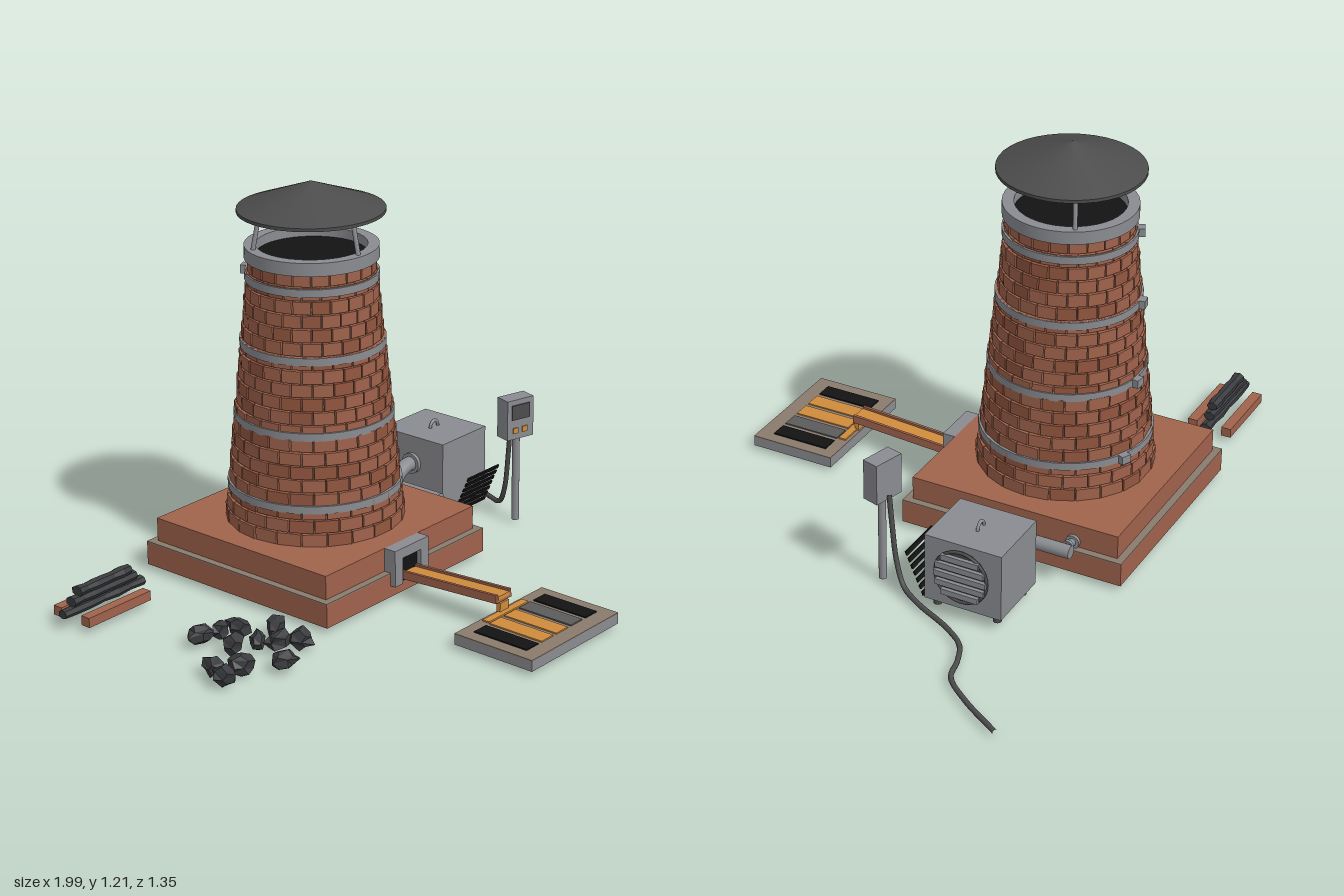
import * as THREE from 'three';
import { mergeGeometries } from 'three/addons/utils/BufferGeometryUtils.js';

const mat = (name, color, extra = {}) => {
  const m = new THREE.MeshStandardMaterial({ color, ...extra });
  m.name = name;
  return m;
};

export function createModel() {
  const root = new THREE.Group();
  root.name = 'brickFurnace';
  const M = {
    brick: mat('brick', 0xa0634c),
    brickDark: mat('darkBrick', 0x935740),
    mortar: mat('mortar', 0x8a7c6e),
    steel: mat('steel', 0x8b8c91),
    roof: mat('roofMetal', 0x4c4c4d),
    coal: mat('coal', 0x3a3b3e, { flatShading: true }),
    black: mat('black', 0x131313),
    molten: mat('moltenMetal', 0xcf8b3c),
    cooled: mat('cooledMetal', 0x5c5c5c),
  };
  let seed = 7;
  const rnd = () => (seed = (seed * 16807) % 2147483647) / 2147483647;

  const add = (name, geo, m, x = 0, y = 0, z = 0, parent = root) => {
    const mesh = new THREE.Mesh(geo, m);
    mesh.name = name;
    mesh.position.set(x, y, z);
    parent.add(mesh);
    return mesh;
  };
  // box given by its limits on each axis
  const box = (name, m, x0, x1, y0, y1, z0, z1, parent = root) =>
    add(name, new THREE.BoxGeometry(x1 - x0, y1 - y0, z1 - z0), m,
      (x0 + x1) / 2, (y0 + y1) / 2, (z0 + z1) / 2, parent);
  // round rod between two points
  const rod = (name, m, a, b, r, parent = root) => {
    const p = new THREE.Vector3(...a), q = new THREE.Vector3(...b);
    const mesh = add(name, new THREE.CylinderGeometry(r, r, p.distanceTo(q), 16), m, 0, 0, 0, parent);
    mesh.position.copy(p).lerp(q, 0.5);
    mesh.quaternion.setFromUnitVectors(new THREE.Vector3(0, 1, 0), q.sub(p).normalize());
    return mesh;
  };
  const tube = (name, m, pts, r, n = 60) => add(name, new THREE.TubeGeometry(
    new THREE.CatmullRomCurve3(pts.map(p => new THREE.Vector3(...p))), n, r, 10), m);
  // hollow ring with square section
  const band = (name, m, rIn, rOut, y0, y1, parent) => {
    const c = [[rIn, y0], [rOut, y0], [rOut, y1], [rIn, y1], [rIn, y0]];
    const parts = c.slice(0, 4).map((p, i) => new THREE.LatheGeometry(
      [new THREE.Vector2(...p), new THREE.Vector2(...c[i + 1])], 40));
    return add(name, mergeGeometries(parts), m, 0, 0, 0, parent);
  };

  // stepped brick base
  box('lowerBase', M.brick, -0.52, 0.205, 0.02, 0.092, -0.675, 0.05);
  box('baseMortarBed', M.mortar, -0.52, 0.205, 0.092, 0.096, -0.675, 0.05);
  box('upperBase', M.brick, -0.497, 0.182, 0.096, 0.17, -0.652, 0.027);

  // tower: tapered mortar core with staggered brick courses
  const tower = new THREE.Group();
  tower.name = 'tower';
  tower.position.set(-0.1575, 0, -0.3125);
  root.add(tower);
  const Y0 = 0.17, Y1 = 0.99, COURSES = 20, PER = 22;
  const h = (Y1 - Y0) / COURSES;
  const radiusAt = y => 0.268 - 0.083 * (y - Y0) / (Y1 - Y0);
  add('mortarCore', new THREE.CylinderGeometry(radiusAt(Y1) - 0.007, radiusAt(Y0) - 0.007, Y1 - Y0, 44, 1, true),
    M.mortar, 0, (Y0 + Y1) / 2, 0, tower);
  const bricks = [[], []];
  for (let i = 0; i < COURSES; i++) {
    const y = Y0 + (i + 0.5) * h, r = radiusAt(y);
    for (let k = 0; k < PER; k++) {
      const a = (k + (i % 2) / 2) / PER * Math.PI * 2;
      const g = new THREE.BoxGeometry(2 * r * Math.tan(Math.PI / PER) - 0.004, h - 0.003, 0.03);
      g.translate(0, y, r - 0.014 + rnd() * 0.003);
      g.rotateY(a);
      bricks[rnd() < 0.7 ? 0 : 1].push(g);
    }
  }
  add('bricks', mergeGeometries(bricks[0]), M.brick, 0, 0, 0, tower);
  add('darkerBricks', mergeGeometries(bricks[1]), M.brickDark, 0, 0, 0, tower);

  // steel hoops with clamp lugs
  [[0.285, 0.264], [0.505, 0.241], [0.73, 0.219], [0.933, 0.2]].forEach(([y, r], i) => {
    band('hoop', M.steel, r - 0.022, r, y - 0.012, y + 0.012, tower);
    const a = Math.PI - (0.42 - i * 0.29);
    const lug = box('hoopClamp', M.steel, -0.016, 0.016, y - 0.013, y + 0.013, -0.011, 0.011, tower);
    lug.position.set(Math.sin(a) * (r + 0.006), y, Math.cos(a) * (r + 0.006));
    lug.rotation.y = a;
  });

  // mouth ring, charge, posts and cap
  band('mouthRing', M.steel, 0.165, 0.2, 0.985, 1.025, tower);
  add('charge', new THREE.CylinderGeometry(0.166, 0.166, 0.02, 32), M.black, 0, 0.985, 0, tower);
  for (let i = 0; i < 3; i++) {
    const a = i * Math.PI * 2 / 3, s = Math.sin(a), c = Math.cos(a);
    rod('capPost', M.steel, [s * 0.181, 1.02, c * 0.181], [s * 0.158, 1.135, c * 0.158], 0.007, tower);
  }
  add('cap', new THREE.ConeGeometry(0.22, 0.08, 40), M.roof, 0, 1.175, 0, tower);
  add('capRim', new THREE.CylinderGeometry(0.22, 0.22, 0.01, 40), M.roof, 0, 1.13, 0, tower);

  // tap hole frame
  box('tapHole', M.black, -0.2, -0.117, 0.055, 0.14, 0.04, 0.054);
  for (const [x0, x1] of [[-0.235, -0.2], [-0.117, -0.082]])
    box('tapFrameSide', M.steel, x0, x1, 0.055, 0.17, 0.027, 0.068);
  box('tapFrameTop', M.steel, -0.2, -0.117, 0.138, 0.17, 0.027, 0.068);

  // sloping runner trough
  const trough = new THREE.Group();
  trough.name = 'trough';
  trough.position.set(-0.158, 0.09, 0.235);
  trough.rotation.x = -0.06;
  root.add(trough);
  box('troughFloor', M.brick, -0.035, 0.035, -0.013, -0.005, -0.178, 0.178, trough);
  for (const s of [-1, 1])
    add('troughWall', new THREE.BoxGeometry(0.009, 0.026, 0.356), M.brick, s * 0.031, 0, 0, trough);
  box('moltenStream', M.molten, -0.0265, 0.0265, -0.005, 0.006, -0.178, 0.179, trough);

  // casting mould with filled and empty cells
  box('mould', M.steel, -0.365, 0.045, 0.018, 0.049, 0.397, 0.675);
  box('mouldTop', M.mortar, -0.365, 0.045, 0.049, 0.053, 0.397, 0.675);
  box('mouldRunner', M.molten, -0.25, -0.066, 0.053, 0.058, 0.408, 0.432);
  box('pour', M.molten, -0.178, -0.138, 0.05, 0.085, 0.402, 0.416);
  ['black', 'molten', 'molten', 'cooled', 'black'].forEach((m, i) => {
    const x = -0.298 + i * 0.0695;
    box('mouldCell', M[m], x - 0.027, x + 0.027, 0.053, 0.057, 0.437, 0.625);
  });

  // blower housing
  box('blowerHousing', M.steel, 0.34, 0.555, 0.045, 0.26, -0.467, -0.22);
  for (const x of [0.37, 0.525]) for (const z of [-0.44, -0.247])
    add('blowerFoot', new THREE.CylinderGeometry(0.013, 0.013, 0.028, 12), M.roof, x, 0.032, z);
  const handle = add('blowerHandle', new THREE.TorusGeometry(0.019, 0.005, 8, 16, Math.PI), M.steel, 0.448, 0.258, -0.344);
  handle.scale.y = 1.2;

  // round intake grille with slats
  const GY = 0.157, GZ = -0.342;
  rod('intake', M.roof, [0.55, GY, GZ], [0.564, GY, GZ], 0.083);
  const rim = add('intakeRim', new THREE.TorusGeometry(0.083, 0.005, 8, 32), M.roof, 0.564, GY, GZ);
  rim.rotation.y = Math.PI / 2;
  for (let i = -2; i <= 2; i++) {
    const w = Math.sqrt(0.083 ** 2 - (i * 0.029) ** 2);
    box('intakeSlat', M.steel, 0.562, 0.576, GY + i * 0.029 - 0.009, GY + i * 0.029 + 0.009, GZ - w, GZ + w);
  }

  // leaning louvre stack beside the blower
  for (let i = 0; i < 7; i++) {
    const t = i / 6;
    const slat = add('louvre', new THREE.BoxGeometry(0.155, 0.013, 0.005), M.black,
      0.447, 0.152 - 0.122 * t, -0.143 - 0.053 * t);
    slat.rotation.x = 0.41;
  }

  // air pipes: outlet bend, header and two nozzles
  tube('outletBend', M.steel, [[0.345, 0.17, -0.344], [0.3, 0.168, -0.344], [0.268, 0.15, -0.344], [0.25, 0.12, -0.344]], 0.024, 24);
  rod('outletFlange', M.steel, [0.328, 0.17, -0.344], [0.342, 0.17, -0.344], 0.034);
  rod('header', M.steel, [0.25, 0.12, -0.535], [0.25, 0.12, -0.157], 0.021);
  for (const z of [-0.51, -0.175]) {
    rod('nozzle', M.steel, [0.25, 0.12, z], [0.175, 0.113, z], 0.012);
    rod('nozzleFlange', M.steel, [0.182, 0.113, z], [0.192, 0.113, z], 0.022);
    rod('nozzleCollar', M.steel, [0.214, 0.117, z], [0.224, 0.117, z], 0.018);
  }

  // control box on a post
  rod('controlPost', M.steel, [0.482, 0.012, -0.04], [0.482, 0.31, -0.04], 0.012);
  const control = new THREE.Group();
  control.name = 'controlBox';
  control.position.set(0.48, 0.36, -0.042);
  control.rotation.y = -0.27;
  root.add(control);
  box('controlCase', M.steel, -0.05, 0.05, -0.065, 0.065, -0.027, 0.027, control);
  box('screen', M.roof, -0.034, 0.034, 0, 0.048, 0.026, 0.031, control);
  for (const x of [-0.02, 0.015])
    box('button', M.molten, x - 0.009, x + 0.009, -0.045, -0.027, 0.026, 0.031, control);

  // power cable
  tube('cable', M.roof, [[0.488, 0.31, -0.068], [0.495, 0.22, -0.08], [0.505, 0.1, -0.1], [0.525, 0.035, -0.135],
    [0.56, 0.02, -0.2], [0.625, 0.018, -0.33], [0.68, 0.018, -0.4], [0.75, 0.018, -0.432], [0.825, 0.018, -0.452],
    [0.9, 0.02, -0.535], [0.988, 0.02, -0.675]], 0.008, 80);

  // rough lump: a polyhedron with seeded dents
  const lump = (x, z, sx, sz, turn) => {
    const g = new THREE.DodecahedronGeometry(1, 0), p = g.attributes.position, seen = {};
    for (let i = 0; i < p.count; i++) {
      const key = [p.getX(i), p.getY(i), p.getZ(i)].map(v => v.toFixed(2)).join();
      const k = seen[key] ??= 0.8 + rnd() * 0.4;
      p.setXYZ(i, p.getX(i) * k, p.getY(i) * k, p.getZ(i) * k);
    }
    g.computeVertexNormals();
    const mesh = add('coalLump', g, M.coal, x, 0.039, z);
    mesh.scale.set(sx, 0.032, sz);
    mesh.rotation.y = turn;
  };
  [[-0.81, -0.18, 0.045, 0.026, -0.3], [-0.745, -0.16, 0.034, 0.024, 0.4], [-0.7, -0.128, 0.026, 0.042, 0.3],
    [-0.797, -0.06, 0.034, 0.034, 0.2], [-0.735, -0.025, 0.027, 0.022, 0.8], [-0.625, -0.05, 0.038, 0.027, 0.5],
    [-0.69, 0.02, 0.048, 0.03, -0.2], [-0.645, 0.062, 0.033, 0.042, 0.3], [-0.78, 0.118, 0.043, 0.03, -0.4],
    [-0.875, 0.045, 0.034, 0.036, 0.6], [-0.935, -0.005, 0.03, 0.05, -0.4], [-0.962, 0.06, 0.03, 0.036, 0.2],
  ].forEach(a => lump(...a));

  // billets and rough charcoal logs stacked between them
  for (const z of [-0.61, -0.495])
    box('billet', M.brick, -0.955, -0.705, 0.022, 0.052, z - 0.016, z + 0.016);
  [[-0.99, -0.67, 0.055], [-0.955, -0.7, 0.083], [-0.93, -0.72, 0.108]].forEach(([x0, x1, y]) => {
    const g = new THREE.CylinderGeometry(0.019, 0.019, x1 - x0, 7, 6), p = g.attributes.position;
    for (let i = 0; i < p.count; i++) {
      const k = 1 + 0.13 * Math.sin(p.getY(i) * 70 + x0 * 20);
      p.setXYZ(i, p.getX(i) * k * 0.8, p.getY(i), p.getZ(i) * k);
    }
    g.rotateZ(Math.PI / 2);
    g.computeVertexNormals();
    add('charcoalLog', g, M.coal, (x0 + x1) / 2, y, -0.552);
  });
  return root;
}
